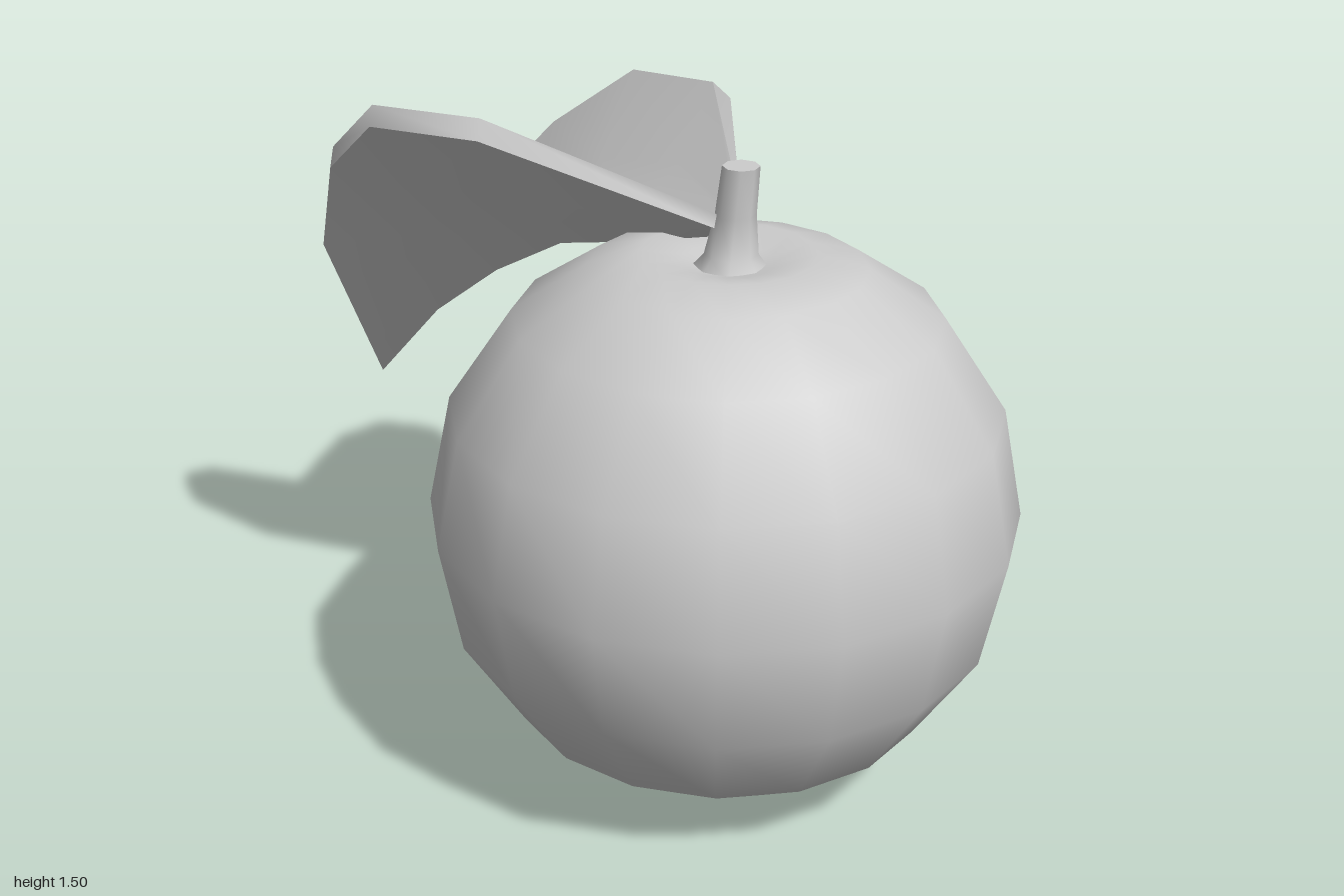
import * as THREE from 'three';
import { toCreasedNormals } from 'three/addons/utils/BufferGeometryUtils.js';

const FRUIT_X = 0.345;

const plain = new THREE.MeshStandardMaterial({ color: 0xcccccc });
plain.name = 'plain grey';

function part(name, geometry) {
  const mesh = new THREE.Mesh(geometry, plain);
  mesh.name = name;
  return mesh;
}

const lathe = (profile, sides) =>
  new THREE.LatheGeometry(profile.map(([r, y]) => new THREE.Vector2(r, y)), sides);

// Round fruit, with a shallow dimple under the stem
function makeFruit() {
  const profile = [
    [0, 0], [0.25, 0.035], [0.465, 0.18], [0.605, 0.39], [0.655, 0.64], [0.605, 0.89],
    [0.465, 1.1], [0.3, 1.21], [0.19, 1.24], [0.1, 1.22], [0, 1.2],
  ];
  const fruit = part('fruit', lathe(profile, 16));
  fruit.position.x = FRUIT_X;
  return fruit;
}

// Short stem: flared foot, slight lean, flat cut top
function makeStem() {
  const profile = [[0.09, 1.2], [0.058, 1.24], [0.044, 1.33], [0.04, 1.44], [0, 1.44]];
  const geometry = lathe(profile, 8);
  const p = geometry.attributes.position;
  for (let i = 0; i < p.count; i++) p.setX(i, p.getX(i) + (p.getY(i) - 1.2) * 0.12);
  const stem = part('stem', toCreasedNormals(geometry, 1));
  stem.position.x = FRUIT_X + 0.003;
  return stem;
}

// Thick drooping leaf, folded along its midrib
function makeLeaf() {
  // Each station, stem to tip: back rim, midrib, front rim on the upper face
  const stations = [
    [[0.35, 1.33, -0.03], [0.35, 1.31, 0], [0.35, 1.33, 0.03]],
    [[-0.08, 1.45, -0.355], [0.0, 1.21, -0.02], [-0.1, 1.495, 0.31]],
    [[-0.42, 1.395, -0.415], [-0.27, 1.13, -0.03], [-0.44, 1.455, 0.345]],
    [[-0.66, 1.22, -0.365], [-0.52, 0.99, -0.035], [-0.69, 1.285, 0.285]],
    [[-0.88, 0.95, -0.24], [-0.75, 0.82, -0.025], [-0.9, 1.01, 0.175]],
    [[-1, 0.6, -0.015], [-1, 0.6, -0.015], [-1, 0.6, -0.015]],
  ].map((row) => row.map((v) => new THREE.Vector3(...v)));

  const positions = [];
  const last = stations.length - 1;
  stations.forEach(([back, rib, front], i) => {
    const sag = i === 0 || i === last ? 0 : 0.025;
    const between = (a, b) => a.clone().lerp(b, 0.5).add(new THREE.Vector3(sag, -sag, 0));
    const upper = [back, between(back, rib), rib, between(rib, front), front];
    const spread = i === last ? 0 : i === 0 ? 0.005 : 0.03;
    const drop = i === 0 ? 0.03 : i === last ? 0.055 : 0.038;
    const slide = i === 0 ? 0 : i === last ? 0.045 : 0.028;
    const lower = upper.map((v, j) =>
      v.clone().add(new THREE.Vector3(slide, -drop, spread * (j - 2) / 2)));
    // One closed ring: over the upper face, back along the lower face
    [...upper, ...lower.reverse()].forEach((v) => positions.push(v.x, v.y, v.z));
  });

  const ring = 10;
  const index = [];
  for (let i = 0; i < last; i++) {
    for (let j = 0; j < ring; j++) {
      const a = i * ring + j;
      const b = i * ring + (j + 1) % ring;
      index.push(a, a + ring, b, b, a + ring, b + ring);
    }
  }
  const geometry = new THREE.BufferGeometry();
  geometry.setAttribute('position', new THREE.Float32BufferAttribute(positions, 3));
  geometry.setIndex(index);
  return part('leaf', toCreasedNormals(geometry, 0.9));
}

export function createModel() {
  const model = new THREE.Group();
  model.name = 'fruit with leaf';
  model.add(makeFruit(), makeStem(), makeLeaf());
  return model;
}
